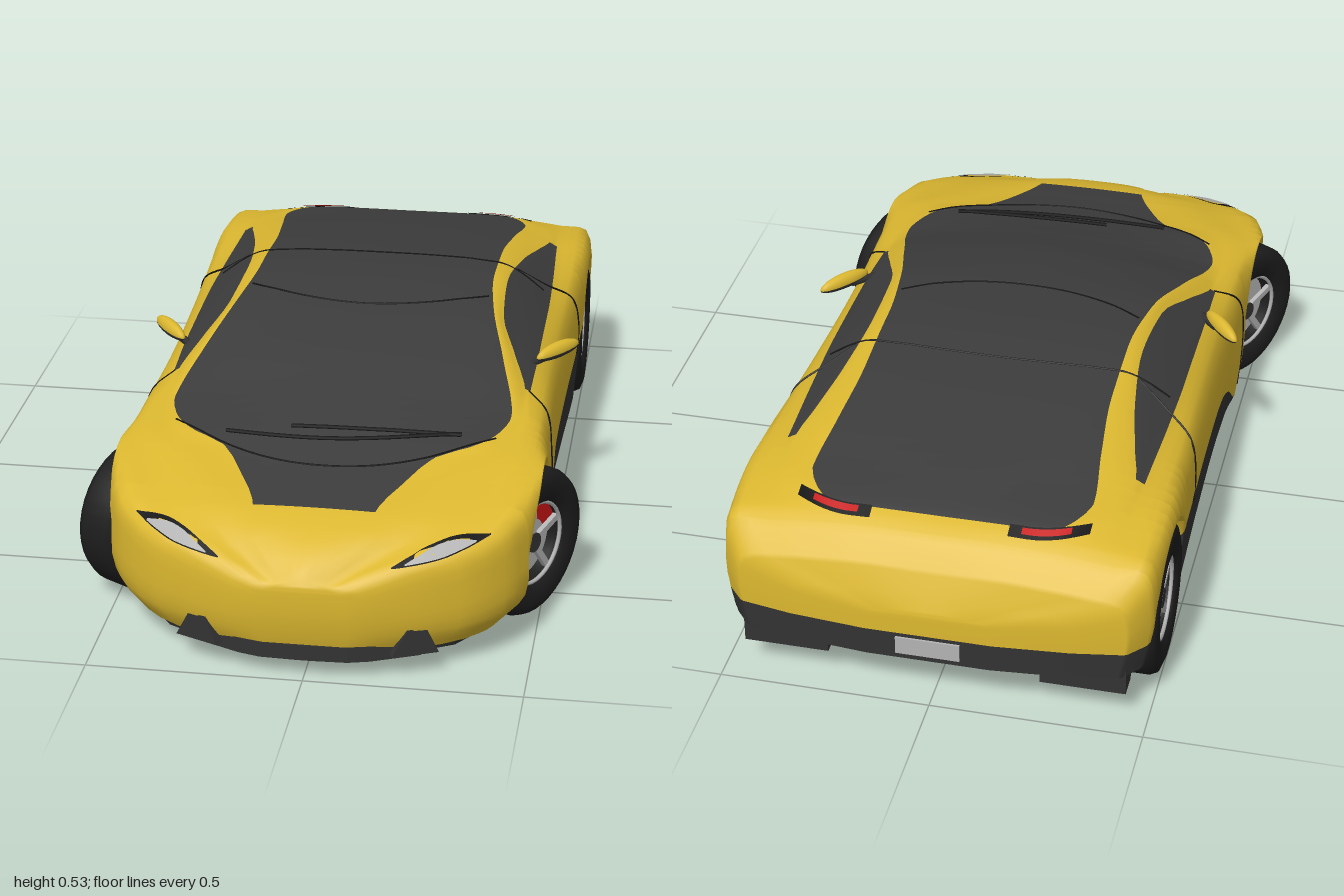
import * as THREE from 'three';

const mat = (name, color, open) => new THREE.MeshStandardMaterial(
  open ? { name, color, side: THREE.DoubleSide } : { name, color });
const paint = mat('yellow paint', 0xdcb830, true);
const glass = mat('dark glass', 0x3c3c3c, true);
const trim = mat('dark trim', 0x333333, true);
const under = mat('underbody', 0x262626, true);
const rubber = mat('tyre rubber', 0x1d1d1d);
const black = mat('black lines', 0x121212, true);
const silver = mat('silver', 0xb4b4b4, true);
const red = mat('red', 0xc81414, true);

// Smooth interpolation of a [z, value...] table without overshoot
function sample(table, z, k = 1) {
  let i = 0;
  while (i < table.length - 2 && z > table[i + 1][0]) i++;
  const slope = j => (table[j + 1][k] - table[j][k]) / (table[j + 1][0] - table[j][0]);
  const tangent = j => {
    if (j === 0) return slope(0);
    if (j === table.length - 1) return slope(j - 1);
    const a = slope(j - 1), b = slope(j);
    return a * b <= 0 ? 0 : 2 * a * b / (a + b);
  };
  const h = table[i + 1][0] - table[i][0];
  const t = Math.min(1, Math.max(0, (z - table[i][0]) / h)), t2 = t * t, t3 = t2 * t;
  return (2 * t3 - 3 * t2 + 1) * table[i][k] + (t3 - 2 * t2 + t) * h * tangent(i)
    + (3 * t2 - 2 * t3) * table[i + 1][k] + (t3 - t2) * h * tangent(i + 1);
}

// Body lines along z
const halfWidth = [[-1, .15], [-.985, .33], [-.965, .45], [-.93, .49], [-.88, .505], [-.6, .51], [-.2, .5], [.1, .495],
  [.4, .5], [.65, .5], [.74, .49], [.8, .465], [.87, .41], [.92, .345], [.96, .25], [.985, .17], [1, .1]];
const crown = [[-1, .27], [-.97, .34], [-.93, .4], [-.87, .435], [-.8, .455], [-.6, .49], [-.4, .515], [-.2, .53], [0, .52],
  [.2, .495], [.4, .445], [.5, .415], [.6, .388], [.7, .367], [.82, .347], [.9, .322], [.95, .297], [.98, .27], [1, .24]];
const glassEdge = [[-1, .05, .268], [-.95, .18, .375], [-.87, .2, .434], [-.855, .26, .438], [-.82, .3, .444],
  [-.75, .33, .452], [-.6, .315, .48], [-.4, .3, .508], [-.2, .3, .523], [0, .32, .512], [.2, .365, .465], [.4, .405, .408],
  [.48, .385, .402], [.55, .335, .398], [.6, .25, .386], [.7, .19, .365], [.82, .14, .345], [.9, .13, .319], [1, .03, .238]];
const windowTop = [[-1, .08, .265], [-.95, .29, .368], [-.86, .34, .426], [-.75, .39, .443], [-.65, .405, .45],
  [-.55, .385, .466], [-.4, .355, .492], [-.2, .335, .512], [0, .345, .497], [.15, .39, .455], [.27, .425, .418],
  [.4, .428, .405], [.55, .39, .392], [.7, .3, .368], [.85, .24, .33], [1, .055, .234]];
const windowSill = [[-1, .11, .26], [-.95, .38, .36], [-.86, .42, .415], [-.65, .425, .44], [-.4, .435, .437], [-.2, .44, .435],
  [.1, .44, .425], [.27, .437, .412], [.4, .45, .402], [.55, .44, .39], [.7, .4, .36], [.85, .33, .322], [.95, .2, .285], [1, .075, .228]];
const shoulder = [[-1, .25], [-.97, .31], [-.93, .365], [-.88, .4], [-.7, .42], [-.4, .4], [0, .385], [.3, .38], [.5, .383],
  [.62, .373], [.75, .345], [.85, .31], [.92, .285], [.96, .265], [1, .22]];
const waist = [[-1, .22], [-.9, .3], [-.6, .29], [0, .27], [.4, .27], [.8, .24], [1, .17]];
const skirt = [[-1, .2], [-.9, .2], [-.55, .24], [-.35, .228], [-.1, .215], [.1, .195], [.2, .155], [.3, .08], [.36, .12], [.75, .13], [1, .11]];

const axles = [{ z: .575, r: .187 }, { z: -.715, r: .19 }];
const HUB = .18;
const SUB = 3;

function section(z) {
  let arch = 0;
  for (const a of axles) {
    const d = Math.abs(z - a.z);
    if (d <= a.r + 1e-6) arch = HUB + Math.sqrt(Math.max(0, a.r * a.r - d * d));
  }
  const w = sample(halfWidth, z), up = (y, lift) => Math.max(y, arch ? arch + lift : 0);
  const half = [
    [sample(glassEdge, z), sample(glassEdge, z, 2)],
    [sample(windowTop, z), sample(windowTop, z, 2)],
    [sample(windowSill, z), sample(windowSill, z, 2)],
    [w * .965, up(sample(shoulder, z), .01)],
    [w, up(sample(waist, z), .006)],
    [w * .99, up(sample(skirt, z), .003)],
    [w * (z > .6 ? .88 : .96), up(z < -.8 ? .13 : z > .6 ? .065 : .05, 0)],
  ];
  const pts = [...half].reverse().map(p => [-p[0], p[1]]).concat([[0, sample(crown, z)]], half);
  const curve = new THREE.CatmullRomCurve3(pts.map(p => new THREE.Vector3(p[0], p[1], z)));
  const n = 14 * SUB;
  return Array.from({ length: n + 1 }, (_, i) => curve.getPoint(i / n));
}

function buildBody() {
  const zs = [-.985, -.965, -.86, -.64, .26, .3, .82, .985, .993];
  for (let i = -25; i <= 25; i++) zs.push(i / 25);
  for (const a of axles) {
    zs.push(a.z - a.r - .001, a.z + a.r + .001);
    for (let k = 0; k <= 16; k++) zs.push(a.z + a.r * Math.cos(k * Math.PI / 16));
  }
  zs.sort((a, b) => a - b);
  const m = 14 * SUB, cols = m + 1, pos = [], faces = [[], [], []];
  zs.forEach(z => section(z).forEach(p => {
    // Nose tucks under toward the splitter
    const tuck = THREE.MathUtils.smoothstep(z, .8, .97) * 1.2 * Math.max(0, .2 - p.y) ** 2;
    pos.push(p.x, p.y, z - tuck);
  }));
  const pick = (j, z) => {
    const seg = Math.floor((j < m / 2 ? m / 2 - 1 - j : j - m / 2) / SUB);
    if (seg === 0 && z > -.86 && z < .82) return 1;
    if (seg === 2 && z > -.64 && z < .26) return 1;
    return seg === 6 && (z < -.9 || (z > -.53 && z < .3)) ? 2 : 0;
  };
  for (let i = 0; i < zs.length - 1; i++) for (let j = 0; j < m; j++) {
    const a = i * cols + j, b = a + 1, c = a + cols, d = c + 1;
    faces[pick(j, (zs[i] + zs[i + 1]) / 2)].push(a, c, b, b, c, d);
  }
  // Nose and tail caps
  const last = (zs.length - 1) * cols;
  for (let j = 0; j < m / 2; j++) {
    const q = [j, m - j, m - j - 1, j + 1];
    const f = q.map(v => v + last);
    faces[pick(j, 1)].push(f[0], f[1], f[2], f[0], f[2], f[3]);
    faces[pick(j, -1)].push(q[0], q[2], q[1], q[0], q[3], q[2]);
  }
  const g = new THREE.BufferGeometry();
  g.setAttribute('position', new THREE.Float32BufferAttribute(pos, 3));
  g.setIndex(faces.flat());
  let start = 0;
  faces.forEach((f, i) => { g.addGroup(start, f.length, i); start += f.length; });
  g.computeVertexNormals();
  return new THREE.Mesh(g, [paint, glass, trim]);
}

// Wheel with its axle along x and its outer face toward +x
function buildWheel(caliperAngle) {
  const wheel = new THREE.Group();
  const put = (name, geo, m, x = 0) => {
    const mesh = new THREE.Mesh(geo, m);
    mesh.name = name; mesh.position.x = x; wheel.add(mesh);
    return mesh;
  };
  const profile = [[.105, -.055], [.15, -.06], [.172, -.052], [.18, -.035], [.18, .035], [.172, .052], [.15, .06], [.105, .055], [.1, .03], [.1, -.05], [.105, -.055]];
  put('tyre', new THREE.LatheGeometry(profile.map(p => new THREE.Vector2(...p)), 40).rotateZ(-Math.PI / 2), rubber);
  const disc = (r, h) => new THREE.CylinderGeometry(r, r, h, 32).rotateZ(Math.PI / 2);
  put('brakeDisc', disc(.092, .012), silver, .01);
  put('hub', disc(.024, .04), trim, .025);
  put('axleStub', disc(.032, .12), under, -.07);
  put('rimLip', new THREE.TorusGeometry(.1, .005, 6, 40).rotateY(Math.PI / 2), silver, .045);
  for (let i = 0; i < 5; i++) {
    const spoke = put('spoke', new THREE.BoxGeometry(.012, .08, .016).translate(0, .06, 0), silver, .036);
    spoke.rotation.x = i * Math.PI * .4;
  }
  put('caliper', new THREE.RingGeometry(.055, .099, 12, 1, caliperAngle - .5, 1).rotateY(Math.PI / 2), red, .03);
  return wheel;
}

export function createModel() {
  const car = new THREE.Group();
  const add = (name, geo, m, x = 0, y = 0, z = 0) => {
    const mesh = new THREE.Mesh(geo, m);
    mesh.name = name; mesh.position.set(x, y, z); car.add(mesh);
    return mesh;
  };
  const body = buildBody();
  body.name = 'body';
  car.add(body);

  // Helpers that lay details on the body surface
  const ray = new THREE.Raycaster();
  const from = (o, d, lift) => {
    ray.set(new THREE.Vector3(...o), new THREE.Vector3(...d));
    const hit = ray.intersectObject(body)[0];
    return hit && hit.point.addScaledVector(ray.ray.direction, -lift);
  };
  const onTop = (x, z, lift = .001) => from([x, 2, z], [0, -1, 0], lift);
  const onFront = (x, y, lift) => from([x, y, 3], [0, 0, -1], lift);
  const onSide = (s, z, y) => from([s * 2, y, z], [-s, 0, 0], .0005);
  const line = (name, pts, r = .0025) => {
    const path = new THREE.CatmullRomCurve3(pts.filter(Boolean));
    add(name, new THREE.TubeGeometry(path, 40, r, 5), black);
  };
  const strip = (name, pairs, m) => {
    const ok = pairs.filter(p => p[0] && p[1]), idx = [];
    for (let i = 0; i < ok.length - 1; i++) idx.push(2 * i, 2 * i + 1, 2 * i + 2, 2 * i + 1, 2 * i + 3, 2 * i + 2);
    const g = new THREE.BufferGeometry().setFromPoints(ok.flat());
    g.setIndex(idx); g.computeVertexNormals();
    add(name, g, m);
  };
  const steps = (n, f) => Array.from({ length: n + 1 }, (_, i) => f(i / n));

  // Roof and windscreen seams, wipers
  line('roofSeamRear', steps(16, t => { const x = -.42 + .84 * t; return onTop(x, -.32 + .15 * x * x); }));
  line('roofSeamFront', steps(16, t => { const x = -.3 + .6 * t; return onTop(x, .02 - x * x); }));
  line('windscreenBase', steps(16, t => { const x = -.38 + .76 * t; return onTop(x, .66 - 1.05 * x * x); }));
  line('longWiper', steps(10, t => onTop(-.25 + .55 * t, .56 - .05 * t + .03 * Math.sin(t * 3), .006)), .005);
  line('shortWiper', steps(10, t => onTop(-.1 + .4 * t, .53 - .01 * t, .006)), .005);

  // Underbody: floor pan, inner core and splitter
  const slab = (name, half, y, h, m) => {
    const pts = half.concat([...half].reverse().map(([x, z]) => [-x, z]));
    const shape = new THREE.Shape(pts.map(([x, z]) => new THREE.Vector2(x, -z)));
    add(name, new THREE.ExtrudeGeometry(shape, { depth: h, bevelEnabled: false }).rotateX(-Math.PI / 2), m, 0, y);
  };
  slab('floorPan', [[.3, -.56], [.47, -.52], [.47, .36], [.28, .37], [.28, .77], [.4, .77], [.33, .87], [.2, .94]], .048, .04, under);
  slab('rearFloor', [[.12, -.985], [.43, -.955], [.47, -.91], [.3, -.91], [.3, -.54]], .13, .02, under);
  slab('frontSplitter', [[.26, .85], [.26, .925], [.15, .972], [.1, .985], [.02, .988]], .046, .038, trim);
  add('innerCore', new THREE.BoxGeometry(.56, .17, 1.78), under, 0, .215, -.05);

  // Rear details
  add('numberPlate', new THREE.BoxGeometry(.15, .045, .008), silver, 0, .168, -1.001);

  const wedge = new THREE.Shape([[-.055, 0], [.055, 0], [.025, .065], [-.02, .065]].map(p => new THREE.Vector2(...p)));
  for (const s of [1, -1]) {
    add('splitterFin', new THREE.ExtrudeGeometry(wedge, { depth: .04, bevelEnabled: false }), trim, s * .235, .06, .915)
      .rotation.y = s * .4;
    add('diffuser', new THREE.BoxGeometry(.2, .075, .06), trim, s * .35, .117, -.925);

    // Headlight slits
    const lamp = (name, m, size, lift) => strip(name, steps(14, t => {
      const x = s * (.3 + .105 * size * (2 * t - 1)), y = .3 + .021 * size * (2 * t - 1) + .004 * Math.sin(Math.PI * t);
      const h = .011 * size * Math.sin(Math.PI * t) + .001;
      return [onFront(x, y + h, lift), onFront(x, y - h, lift)];
    }), m);
    lamp('headlightSurround', black, 1, .003);
    lamp('headlight', silver, .72, .006);

    // Tail lights under the rear glass
    const tail = (name, m, a, b, h, lift) => strip(name, steps(8, t => {
      const x = a + (b - a) * t, z = -.872 + 2.2 * Math.max(0, x - .2) ** 2;
      return [onTop(s * x, z + h, lift), onTop(s * x, z - h, lift)];
    }), m);
    tail('tailLightSurround', black, .16, .34, .015, .002);
    tail('tailLight', red, .19, .3, .008, .005);

    // Door seams
    line('doorFrontSeam', [[.26, .415], [.3, .38], [.345, .31], [.345, .2], [.32, .1]].map(p => onSide(s, ...p)));
    line('doorRearSeam', [[-.31, .5], [-.34, .45], [-.38, .4], [-.4, .32], [-.4, .235]].map(p => onSide(s, ...p)));

    // Side mirror: painted cap over a dark base
    const shell = (name, m, a) => {
      const g = new THREE.SphereGeometry(1, 20, 8, 0, Math.PI * 2, a, Math.PI / 2);
      g.scale(.075, a ? .016 : .024, .018);
      add(name, g, m, s * .486, .438, .06).rotation.y = s * .92;
    };
    shell('mirrorCap', paint, 0);
    shell('mirrorBase', trim, Math.PI / 2);
    const arm = new THREE.LineCurve3(new THREE.Vector3(s * .41, .425, .14), new THREE.Vector3(s * .47, .43, .07));
    add('mirrorArm', new THREE.TubeGeometry(arm, 1, .01, 6), trim);

    // Wheels and arch liners; the front pair is steered
    axles.forEach((a, i) => {
      const front = i === 0;
      const angle = front ? (s > 0 ? .25 : .75) * Math.PI : 1.5 * Math.PI;
      const wheel = buildWheel(angle);
      wheel.name = front ? 'frontWheel' : 'rearWheel';
      wheel.position.set(s * .446, HUB, a.z);
      wheel.rotation.y = (s > 0 ? 0 : Math.PI) - (front ? Math.PI / 6 : 0);
      car.add(wheel);
      const liner = new THREE.CylinderGeometry(a.r - .001, a.r - .001, .18, 24, 1, true, 0, Math.PI);
      add('archLiner', liner.rotateZ(Math.PI / 2), under, s * .385, HUB, a.z);
    });
  }
  return car;
}
